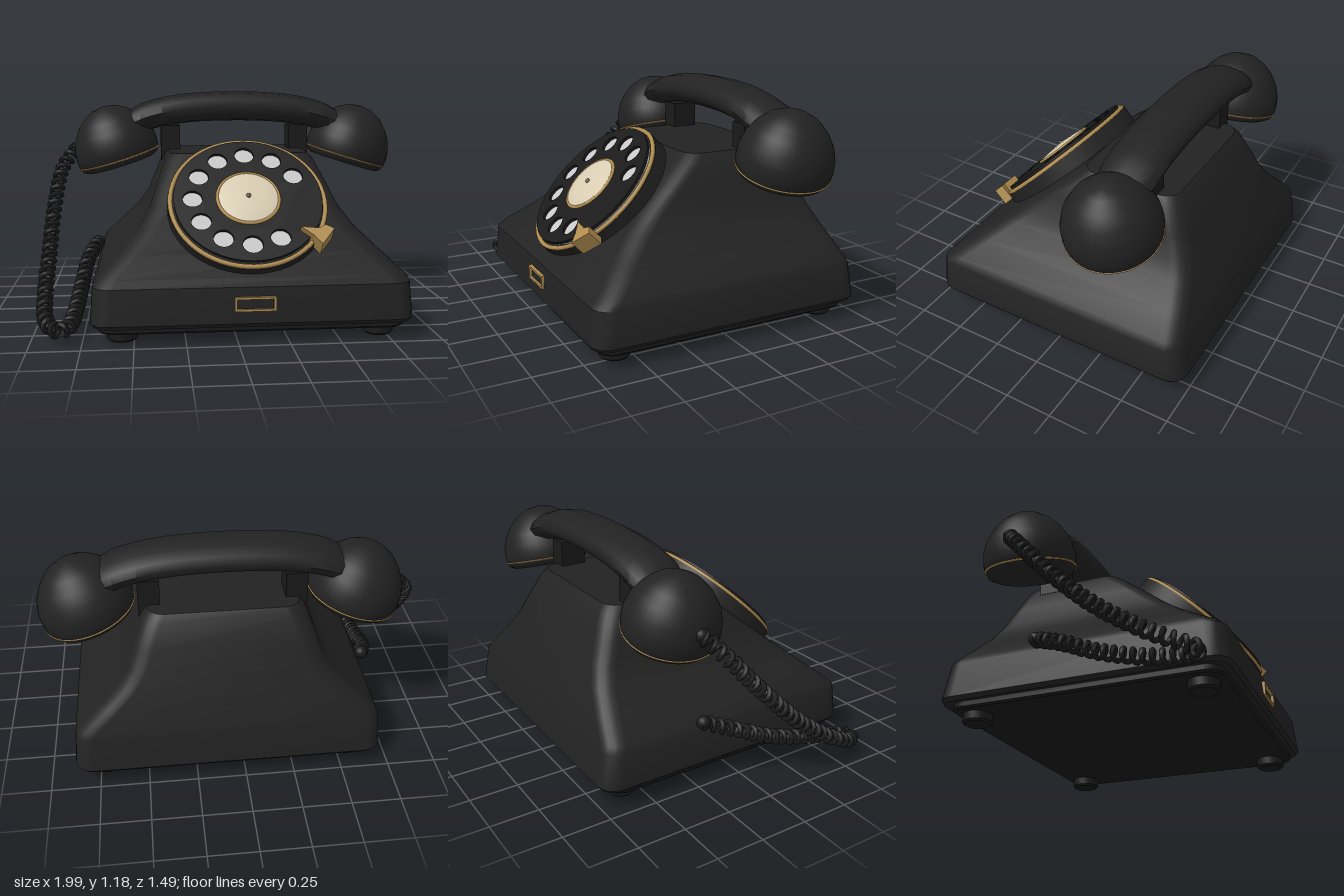
import * as THREE from 'three';
import { toCreasedNormals } from 'three/addons/utils/BufferGeometryUtils.js';

const paint = (name, color) => {
  const m = new THREE.MeshStandardMaterial({ color });
  m.name = name;
  return m;
};
const CX = 0.08;   // middle of the telephone
const HZ = -0.32;  // depth of the handset

// Joins closed rings of points into a capped skin.
function loft(rings, crease) {
  const n = rings[0].length, pos = [], idx = [];
  rings.forEach(r => r.forEach(p => pos.push(...p)));
  for (let i = 0; i < rings.length - 1; i++) {
    for (let j = 0; j < n; j++) {
      const a = i * n + j, b = i * n + (j + 1) % n;
      idx.push(a, b, b + n, a, b + n, a + n);
    }
  }
  const top = (rings.length - 1) * n;
  for (let j = 1; j < n - 1; j++) {
    idx.push(0, j + 1, j, top, top + j, top + j + 1);
  }
  const g = new THREE.BufferGeometry();
  g.setAttribute('position', new THREE.Float32BufferAttribute(pos, 3));
  g.setIndex(idx);
  return toCreasedNormals(g, crease);
}

// Horizontal rounded rectangle at height y.
function roundedRing(y, hx, zf, zb, r) {
  const pts = [], zc = (zf + zb) / 2, hz = (zf - zb) / 2;
  for (let c = 0; c < 4; c++) {
    const sx = c === 0 || c === 3 ? 1 : -1, sz = c < 2 ? -1 : 1;
    for (let k = 0; k <= 5; k++) {
      const a = (c + k / 5) * Math.PI / 2;
      pts.push([CX + sx * (hx - r) + r * Math.cos(a), y, zc + sz * (hz - r) - r * Math.sin(a)]);
    }
  }
  return pts;
}

// Helix wound around a smooth path.
class CoilCurve extends THREE.Curve {
  constructor(path, turns, radius) {
    super();
    Object.assign(this, { path, turns, radius });
  }
  getPoint(t, target = new THREE.Vector3()) {
    const tan = this.path.getTangentAt(t);
    const u = new THREE.Vector3(0, 1, 0).cross(tan).normalize();
    const v = tan.clone().cross(u);
    const a = t * this.turns * Math.PI * 2;
    return target.copy(this.path.getPointAt(t))
      .addScaledVector(u, Math.cos(a) * this.radius)
      .addScaledVector(v, Math.sin(a) * this.radius);
  }
}

export function createModel() {
  const black = paint('black shell', 0x222222);
  const dark = paint('dark fittings', 0x1a1a1a);
  const gold = paint('brass', 0xb08d50);
  const cream = paint('cream', 0xd8ccb2);
  const white = paint('number plate grey', 0xc8c8c8);
  const pinGrey = paint('pin grey', 0x6a655a);

  const model = new THREE.Group();
  model.name = 'rotaryTelephone';
  const add = (parent, name, geo, mat, x = 0, y = 0, z = 0) => {
    const m = new THREE.Mesh(geo, mat);
    m.name = name;
    m.position.set(x, y, z);
    parent.add(m);
    return m;
  };

  // Body: height, half width, front z, back z, corner radius
  const body = [
    [0.085, 0.775, 0.72, -0.73, 0.08], [0.105, 0.79, 0.735, -0.745, 0.09],
    [0.28, 0.777, 0.718, -0.718, 0.09], [0.315, 0.757, 0.68, -0.708, 0.09],
    [0.41, 0.655, 0.565, -0.677, 0.09], [0.51, 0.555, 0.447, -0.643, 0.09],
    [0.6, 0.495, 0.34, -0.607, 0.09], [0.7, 0.458, 0.225, -0.565, 0.09],
    [0.82, 0.41, 0.085, -0.51, 0.09], [0.855, 0.38, 0.045, -0.48, 0.08]
  ];
  add(model, 'body', loft(body.map(r => roundedRing(...r)), 0.6), black);

  // Base plate and feet
  const base = [[0.05, 0.745, 0.68, -0.68, 0.07], [0.06, 0.755, 0.69, -0.69, 0.08],
    [0.09, 0.755, 0.69, -0.69, 0.08]];
  add(model, 'basePlate', loft(base.map(r => roundedRing(...r)), 0.6), dark);
  const footProfile = [[0, 0], [0.065, 0], [0.075, 0.01], [0.075, 0.06]].map(p => new THREE.Vector2(...p));
  for (const sx of [-1, 1]) {
    for (const z of [0.58, -0.585]) {
      add(model, 'foot', toCreasedNormals(new THREE.LatheGeometry(footProfile, 24), 0.5), dark, CX + sx * 0.638, 0, z);
    }
  }

  // Brass frame on the front
  const frame = new THREE.Shape([[-0.1, -0.035], [0.1, -0.035], [0.1, 0.035], [-0.1, 0.035]].map(p => new THREE.Vector2(...p)));
  frame.holes.push(new THREE.Path([[-0.088, -0.024], [-0.088, 0.024], [0.088, 0.024], [0.088, -0.024]].map(p => new THREE.Vector2(...p))));
  add(model, 'nameplateFrame', new THREE.ExtrudeGeometry(frame, { depth: 0.02, bevelEnabled: false }), gold, CX, 0.2, 0.72);

  // Cradle posts
  for (const sx of [-1, 1]) {
    add(model, 'cradlePost', new THREE.BoxGeometry(0.11, 0.2, 0.14), dark, CX + sx * 0.37, 0.89, HZ);
  }

  // Dial, built facing +z and then tilted back
  const dial = new THREE.Group();
  dial.name = 'dial';
  dial.position.set(CX, 0.645, 0.4);
  dial.rotation.x = -THREE.MathUtils.degToRad(46);
  model.add(dial);
  const disc = (name, r, z0, z1, mat) => {
    add(dial, name, new THREE.CylinderGeometry(r, r, z1 - z0, 56), mat, 0, 0, (z0 + z1) / 2).rotation.x = Math.PI / 2;
  };
  disc('dialHousing', 0.408, -0.1, -0.006, black);
  disc('numberPlate', 0.37, -0.006, 0.003, white);
  add(dial, 'dialRim', new THREE.TorusGeometry(0.395, 0.012, 8, 64), gold);

  const wheel = new THREE.Shape();
  wheel.absarc(0, 0, 0.378, 0, Math.PI * 2);
  for (let i = 0; i < 10; i++) {
    const a = (30 + i * 30) * Math.PI / 180;
    const hole = new THREE.Path();
    hole.absarc(0.282 * Math.cos(a), 0.282 * Math.sin(a), 0.05, 0, Math.PI * 2, true);
    wheel.holes.push(hole);
  }
  const wheelGeo = new THREE.ExtrudeGeometry(wheel, { depth: 0.016, bevelEnabled: false, curveSegments: 28 });
  add(dial, 'fingerWheel', wheelGeo, dark, 0, 0, 0.01);
  add(dial, 'centreRing', new THREE.TorusGeometry(0.157, 0.009, 8, 48), gold, 0, 0, 0.028);
  const cap = [[0.155, 0], [0.15, 0.012], [0.08, 0.02], [0, 0.024]].map(p => new THREE.Vector2(...p));
  add(dial, 'centreCap', new THREE.LatheGeometry(cap, 40), cream, 0, 0, 0.024).rotation.x = Math.PI / 2;
  add(dial, 'centrePin', new THREE.SphereGeometry(0.013, 12, 8), pinGrey, 0, 0, 0.047);

  // Finger stop
  const stop = new THREE.Shape([[0.24, -0.205], [0.3, -0.26], [0.335, -0.31], [0.405, -0.22],
    [0.365, -0.195], [0.33, -0.215]].map(p => new THREE.Vector2(...p)));
  add(dial, 'fingerStop', new THREE.ExtrudeGeometry(stop, { depth: 0.09, bevelEnabled: false }), gold, 0, 0, -0.03);

  // Handset grip: oval sections along a shallow arch
  const grip = [];
  for (let i = 0; i <= 20; i++) {
    const d = (i / 10 - 1) * 0.6, s = i === 0 || i === 20 ? 0.88 : 1;
    const y = 1.098 - 0.12 * d * d - 0.4 * d ** 4;
    grip.push(Array.from({ length: 12 }, (_, k) => {
      const a = k / 12 * Math.PI * 2;
      return [CX + d, y + 0.084 * s * Math.cos(a), HZ + 0.148 * s * Math.sin(a)];
    }));
  }
  add(model, 'handsetGrip', loft(grip, 0.9), black);

  // Ear and mouth cups
  const cupProfile = [[0, 0], [0.2, 0], [0.222, 0.012], [0.236, 0.04], [0.241, 0.08], [0.237, 0.13],
    [0.218, 0.19], [0.18, 0.25], [0.13, 0.3], [0.07, 0.333], [0, 0.345]].map(p => new THREE.Vector2(...p));
  for (const s of [-1, 1]) {
    const cup = new THREE.Group();
    cup.name = s < 0 ? 'rightCup' : 'leftCup';
    cup.position.set(CX + s * 0.655, 0.768, HZ);
    cup.rotation.z = -s * THREE.MathUtils.degToRad(17);
    model.add(cup);
    add(cup, 'cupShell', toCreasedNormals(new THREE.LatheGeometry(cupProfile, 40), 0.7), black);
    add(cup, 'cupTrim', new THREE.TorusGeometry(0.235, 0.005, 6, 56), gold, 0, 0.036).rotation.x = Math.PI / 2;
  }

  // Coiled cord from the cup, down beside the body and back to its side
  const path = new THREE.CatmullRomCurve3([
    [-0.83, 0.86, -0.31], [-0.9, 0.76, -0.22], [-0.935, 0.56, -0.04], [-0.945, 0.34, 0.19],
    [-0.945, 0.17, 0.43], [-0.92, 0.09, 0.59], [-0.86, 0.07, 0.655], [-0.815, 0.075, 0.6],
    [-0.795, 0.1, 0.43], [-0.78, 0.17, 0.18], [-0.755, 0.27, -0.05], [-0.71, 0.33, -0.2]
  ].map(p => new THREE.Vector3(...p)));
  add(model, 'coiledCord', new THREE.TubeGeometry(new CoilCurve(path, 46, 0.03), 46 * 14, 0.013, 6), dark);
  add(model, 'cupGrommet', new THREE.SphereGeometry(0.036, 16, 12), dark, -0.83, 0.86, -0.31);
  add(model, 'bodyGrommet', new THREE.SphereGeometry(0.036, 16, 12), dark, -0.71, 0.33, -0.2);

  return model;
}
